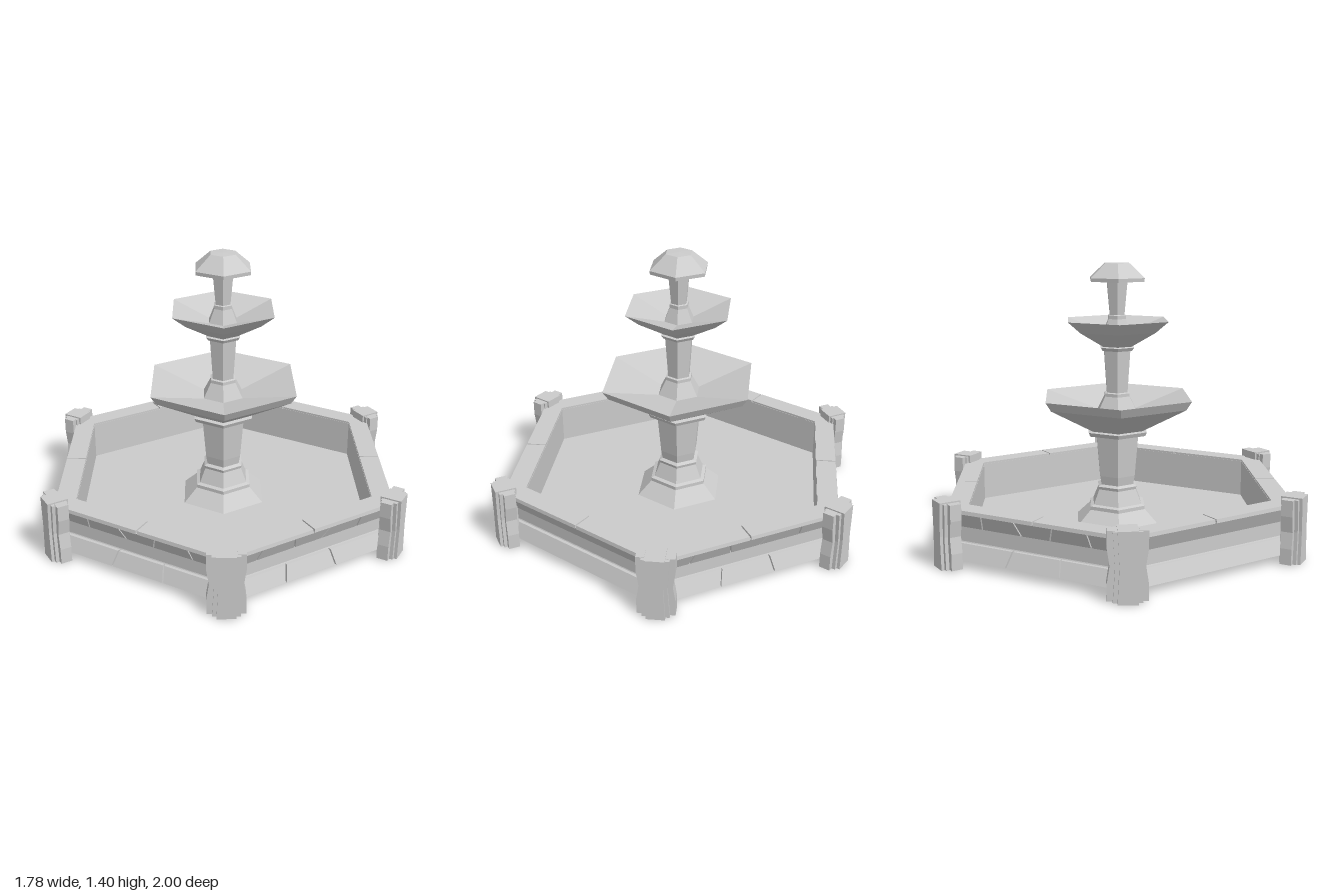
import * as THREE from 'three';

const material = new THREE.MeshStandardMaterial({ color: 0xcccccc, flatShading: true });
const SIXTH = Math.PI / 3;
const MITRE = Math.tan(Math.PI / 6);

function addMesh(parent, name, geometry) {
  const mesh = new THREE.Mesh(geometry, material);
  mesh.name = name;
  parent.add(mesh);
  return mesh;
}

// Six-sided turned part; profile runs from the bottom up as [corner radius, height]
function addHex(parent, name, profile) {
  const points = profile.map(([r, y]) => new THREE.Vector2(r, y));
  return addMesh(parent, name, new THREE.LatheGeometry(points, 6));
}

// Stone between u0 and u1 (-1..1 along a wall), with mitred ends and a sloping outer face
function addStone(parent, name, u0, u1, row, slant0 = 0, slant1 = 0) {
  const geometry = new THREE.BoxGeometry(1, 1, 1);
  const p = geometry.attributes.position;
  for (let i = 0; i < p.count; i++) {
    const top = p.getY(i) > 0;
    const start = p.getX(i) < 0;
    const out = p.getZ(i) > 0 ? (top ? row.outTop : row.outBottom) : row.inner;
    const lean = (start ? slant0 : slant1) * (top ? 1 : -1);
    const u = (start ? u0 : u1) + lean;
    p.setXYZ(i, u * out * MITRE, top ? row.top : row.bottom, out);
  }
  geometry.computeVertexNormals();
  return addMesh(parent, name, geometry);
}

// A row of stones split at the given cuts, leaving narrow joints
function addRow(parent, name, cuts, row, slant) {
  const gap = 0.008;
  const ends = [-1, ...cuts, 1];
  for (let i = 0; i < ends.length - 1; i++) {
    const first = i === 0;
    const last = i === ends.length - 2;
    addStone(parent, name,
      ends[i] + (first ? 0 : gap), ends[i + 1] - (last ? 0 : gap), row,
      first ? 0 : slant * (i % 2 ? 1 : -0.6), last ? 0 : slant * (i % 2 ? -0.6 : 1));
  }
}

// Post block with its sides pinched in at mid-height
function addPinched(parent, name, width, y0, y1, z0, z1, pinch) {
  const geometry = new THREE.BoxGeometry(width, y1 - y0, z1 - z0, 1, 4, 1);
  geometry.translate(0, (y0 + y1) / 2, (z0 + z1) / 2);
  const p = geometry.attributes.position;
  for (let i = 0; i < p.count; i++) {
    const t = Math.abs((p.getY(i) - y0) / (y1 - y0) - 0.5) * 2;
    if (t < 0.75) p.setX(i, p.getX(i) - Math.sign(p.getX(i)) * pinch * (1 - t));
  }
  geometry.computeVertexNormals();
  return addMesh(parent, name, geometry);
}

export function createModel() {
  const fountain = new THREE.Group();
  fountain.name = 'fountain';

  // Basin: underside, outer wall, rim, inner wall and floor
  addHex(fountain, 'basin', [
    [0, 0.04], [0.935, 0.04], [0.892, 0.12], [0.892, 0.2], [0.93, 0.268],
    [0.93, 0.274], [0.832, 0.274], [0.832, 0.08], [0, 0.08],
  ]);

  // Stone courses on the six walls; the two side walls are plain
  const lower = { bottom: 0.042, top: 0.115, outBottom: 0.822, outTop: 0.79, inner: 0.75 };
  const upper = { bottom: 0.195, top: 0.268, outBottom: 0.787, outTop: 0.822, inner: 0.75 };
  const coping = { bottom: 0.266, top: 0.284, outBottom: 0.825, outTop: 0.822, inner: 0.722 };
  for (let k = 0; k < 6; k++) {
    const wall = new THREE.Group();
    wall.name = 'wall';
    wall.rotation.y = (k + 0.5) * SIXTH;
    const plain = k % 3 === 1;
    addRow(wall, 'lowerStone', plain ? [] : [-0.3, 0.28], lower, 0.015);
    addRow(wall, 'upperStone', plain ? [] : [-0.62, -0.2, 0.18, 0.6], upper, 0.03);
    addRow(wall, 'copingStone', [0], coping, 0);
    fountain.add(wall);
  }

  // Corner posts
  for (let k = 0; k < 6; k++) {
    const post = new THREE.Group();
    post.name = 'post';
    post.rotation.y = k * SIXTH;
    addPinched(post, 'postCore', 0.09, 0, 0.325, 0.895, 1, 0.008);
    addPinched(post, 'postBack', 0.13, 0.004, 0.318, 0.905, 0.985, 0.01);
    for (const side of [-1, 1]) {
      const flank = addPinched(post, 'postFlank', 0.04, 0.006, 0.32, 0.912, 0.968, 0);
      flank.position.x = side * 0.07;
      const p = flank.geometry.attributes.position;
      for (let i = 0; i < p.count; i++) {
        if (Math.abs(p.getY(i) - 0.163) < 0.05) p.setX(i, p.getX(i) - side * 0.012);
      }
      flank.geometry.computeVertexNormals();
    }
    fountain.add(post);
  }

  // Pedestal with stepped foot
  addHex(fountain, 'pedestal', [
    [0.235, 0.08], [0.16, 0.15], [0.16, 0.168], [0.14, 0.175], [0.108, 0.25],
    [0.112, 0.265], [0.094, 0.275], [0.102, 0.32], [0.122, 0.54],
  ]);

  // Lower bowl
  addHex(fountain, 'lowerBowl', [
    [0, 0.533], [0.16, 0.533], [0.17, 0.553], [0.145, 0.557], [0.385, 0.685],
    [0.415, 0.73], [0.1, 0.65], [0, 0.65],
  ]);

  // Middle column
  addHex(fountain, 'middleColumn', [
    [0.115, 0.65], [0.072, 0.73], [0.072, 0.746], [0.06, 0.75], [0.076, 0.97],
  ]);

  // Upper bowl
  addHex(fountain, 'upperBowl', [
    [0, 0.963], [0.085, 0.963], [0.097, 0.98], [0.082, 0.984], [0.215, 1.06],
    [0.285, 1.117], [0.07, 1.05], [0, 1.05],
  ]);

  // Top column
  addHex(fountain, 'topColumn', [
    [0.08, 1.05], [0.05, 1.122], [0.05, 1.14], [0.042, 1.143], [0.06, 1.32],
  ]);

  // Finial cap
  addHex(fountain, 'cap', [
    [0, 1.31], [0.152, 1.31], [0.154, 1.328], [0.07, 1.4], [0, 1.402],
  ]);

  return fountain;
}
